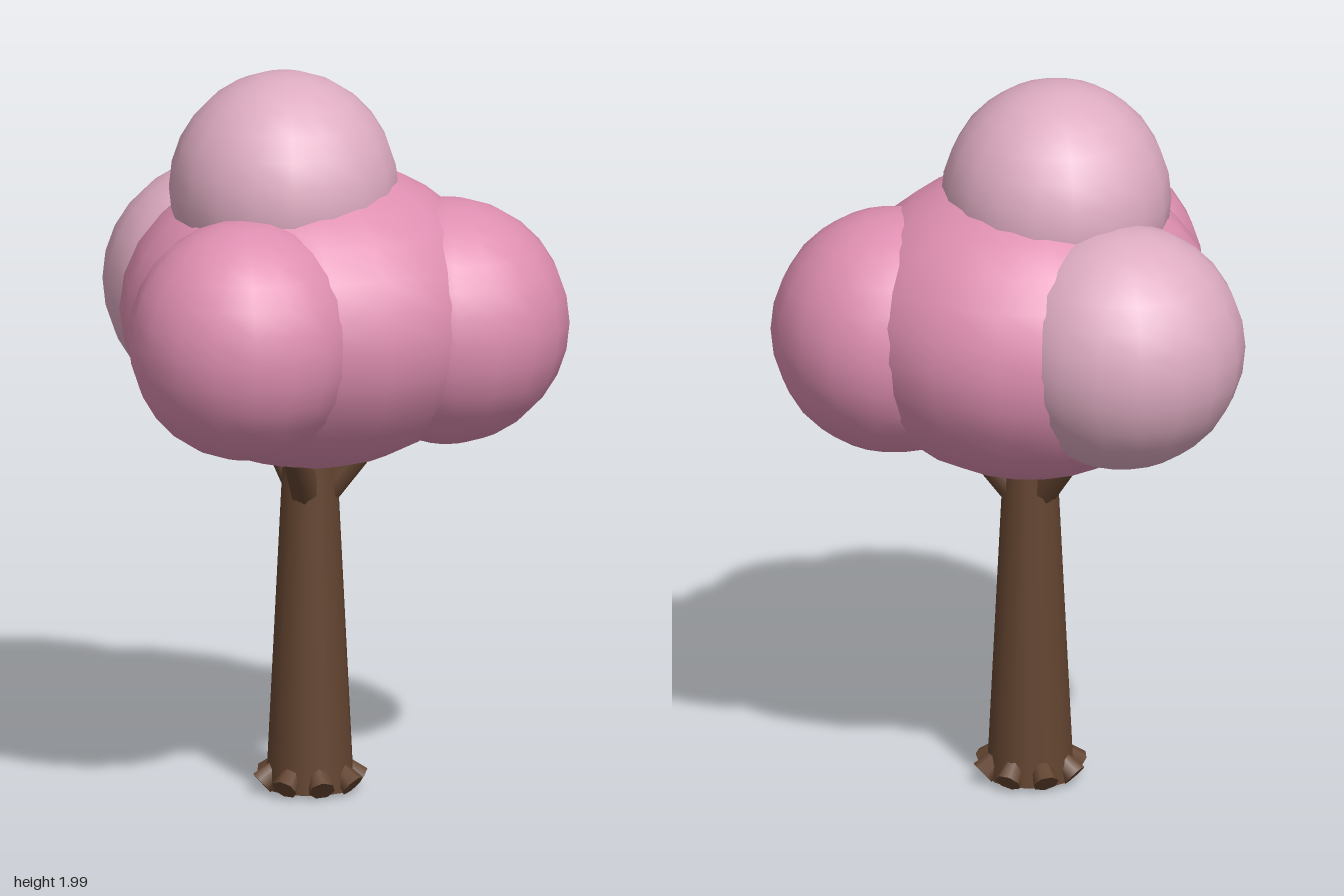
import * as THREE from 'three';

export function createModel() {
  const tree = new THREE.Group();
  tree.name = 'blossomTree';

  const material = (name, color) => {
    const m = new THREE.MeshStandardMaterial({ color });
    m.name = name;
    return m;
  };
  const bark = material('bark brown', 0x634430);
  const pink = material('blossom pink', 0xdf8fb1);
  const pale = material('pale blossom pink', 0xdeacc1);

  const add = (name, geometry, mat) => {
    const mesh = new THREE.Mesh(geometry, mat);
    mesh.name = name;
    tree.add(mesh);
    return mesh;
  };

  // Tapered limb running between two points
  const limb = (name, from, to, r0, r1, sides) => {
    const dir = to.clone().sub(from);
    const mesh = add(name, new THREE.CylinderGeometry(r1, r0, dir.length(), sides), bark);
    mesh.position.copy(from).addScaledVector(dir, 0.5);
    mesh.quaternion.setFromUnitVectors(new THREE.Vector3(0, 1, 0), dir.normalize());
  };

  // Trunk
  const cx = -0.06, cz = -0.03;
  const around = (angle, r, y) =>
    new THREE.Vector3(cx + Math.sin(angle) * r, y, cz + Math.cos(angle) * r);
  limb('trunk', around(0, 0, 0.015), around(0, 0, 1.05), 0.12, 0.068, 14);

  // Stubby roots flaring from the base
  const roots = 8;
  for (let i = 0; i < roots; i++) {
    const a = 0.33 + (i / roots) * Math.PI * 2;
    limb('root', around(a, 0.07, 0.09), around(a, 0.135, 0.032), 0.022, 0.036, 7);
  }

  // Branches reaching toward the three side clumps
  for (const a of [1.6, -0.2, -2.35]) {
    limb('branch', around(a, 0.035, 0.83), around(a, 0.24, 1.08), 0.043, 0.034, 7);
  }

  // Foliage clumps: name, centre, radii, material
  const clumps = [
    ['crown', [-0.06, 1.333, -0.045], [0.518, 0.422, 0.52], pink],
    ['leftClump', [0.307, 1.31, -0.065], [0.335, 0.335, 0.337], pink],
    ['frontClump', [-0.21, 1.337, 0.313], [0.315, 0.327, 0.322], pink],
    ['backClump', [-0.31, 1.352, -0.303], [0.335, 0.335, 0.335], pale],
    ['topClump', [-0.13, 1.678, -0.022], [0.312, 0.322, 0.328], pale],
  ];
  for (const [name, centre, radii, mat] of clumps) {
    const clump = add(name, new THREE.SphereGeometry(1, 18, 14), mat);
    clump.position.set(...centre);
    clump.scale.set(...radii);
  }

  return tree;
}
